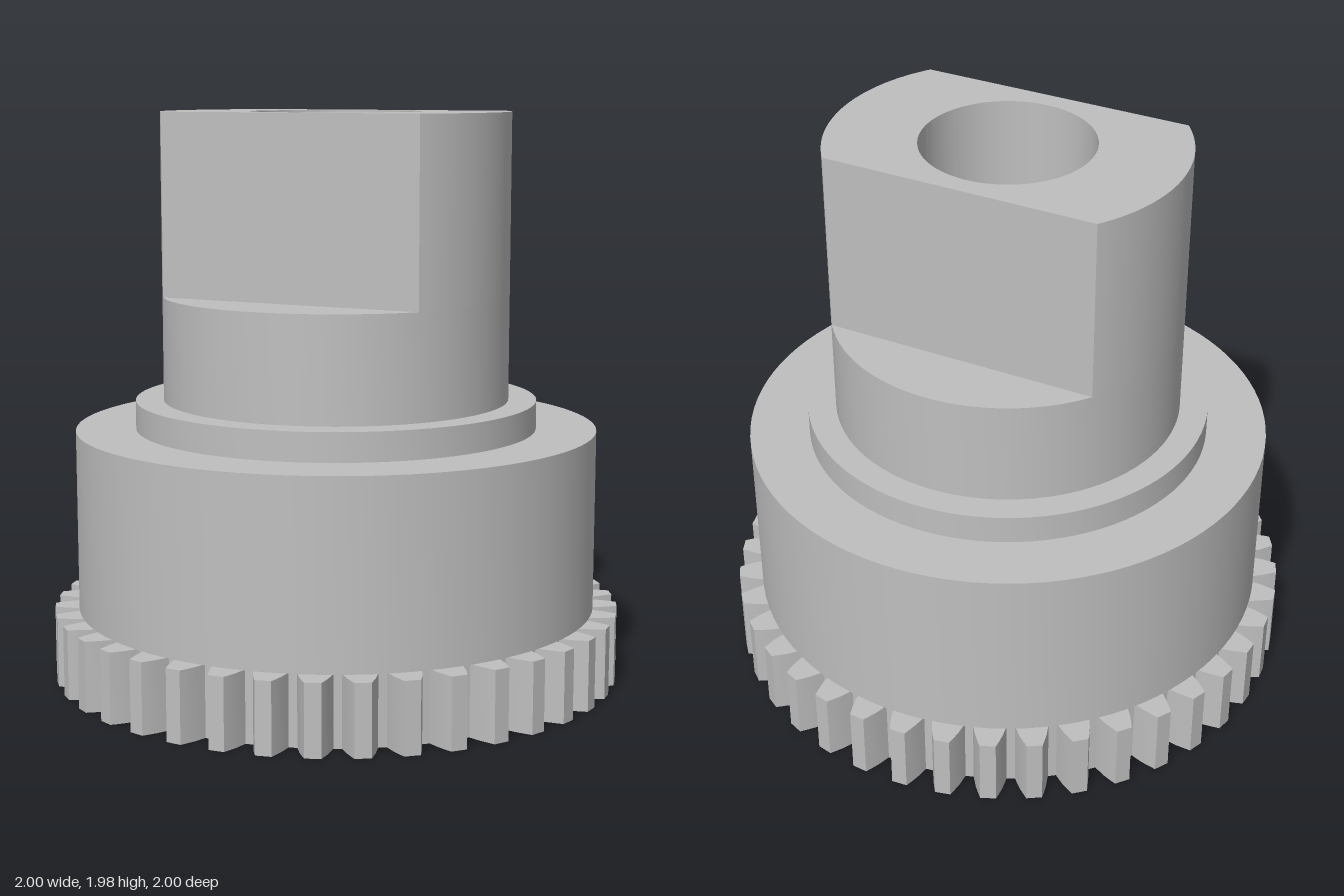
import * as THREE from 'three';
import { toCreasedNormals } from 'three/addons/utils/BufferGeometryUtils.js';

const SEGMENTS = 96;
const BORE = 0.295, CAVITY = 0.87, SHAFT = 0.607;

// Extrude an outline with a round hole upwards from y0 to y1.
function plate(shape, holeRadius, y0, y1) {
  shape.holes.push(new THREE.Path().absarc(0, 0, holeRadius, 0, Math.PI * 2, true));
  const geometry = new THREE.ExtrudeGeometry(shape, {
    depth: y1 - y0, bevelEnabled: false, curveSegments: SEGMENTS,
  });
  geometry.rotateX(-Math.PI / 2).translate(0, y0, 0);
  return toCreasedNormals(geometry, 0.25);
}

// Gear outline: each tooth is given as [radius, half width] from root to tip.
function gearShape(teeth) {
  const flank = [[0.905, 0.057], [0.95, 0.046], [0.98, 0.035], [1.0, 0.027]];
  const points = [];
  for (let i = 0; i < teeth; i++) {
    const centre = ((i + 0.5) / teeth) * Math.PI * 2;
    const add = ([r, w], side) => {
      const a = centre + side * w / r;
      points.push(new THREE.Vector2(r * Math.cos(a), r * Math.sin(a)));
    };
    flank.forEach((p) => add(p, -1));
    [...flank].reverse().forEach((p) => add(p, 1));
  }
  return new THREE.Shape(points);
}

// Round shaft section with two parallel flats at z = +-flat.
function flattedShape(radius, flat) {
  const a = Math.asin(flat / radius);
  const shape = new THREE.Shape();
  shape.absarc(0, 0, radius, -a, a, false);
  shape.absarc(0, 0, radius, Math.PI - a, Math.PI + a, false);
  shape.closePath();
  return shape;
}

export function createModel() {
  const model = new THREE.Group();
  model.name = 'gearHub';
  const steel = new THREE.MeshStandardMaterial({ color: 0xbfbfbf });
  steel.name = 'steelGrey';

  const add = (name, geometry) => {
    const mesh = new THREE.Mesh(geometry, steel);
    mesh.name = name;
    model.add(mesh);
  };

  // Toothed ring at the base
  add('gearRing', plate(gearShape(40), CAVITY, 0, 0.245));

  // Hollow drum, collar and lower shaft turned from one closed profile
  const profile = [
    [CAVITY, 0.245], [0.915, 0.245], [0.915, 0.88], [0.705, 0.88], [0.705, 0.98],
    [SHAFT, 0.98], [SHAFT, 1.345], [BORE, 1.345], [BORE, 0.79], [CAVITY, 0.79], [CAVITY, 0.245],
  ].map(([r, y]) => new THREE.Vector2(r, y));
  add('hubBody', toCreasedNormals(new THREE.LatheGeometry(profile, SEGMENTS), 0.5));

  // Upper shaft with two milled flats
  add('flattedShaft', plate(flattedShape(SHAFT, 0.367), BORE, 1.345, 1.98));

  return model;
}
